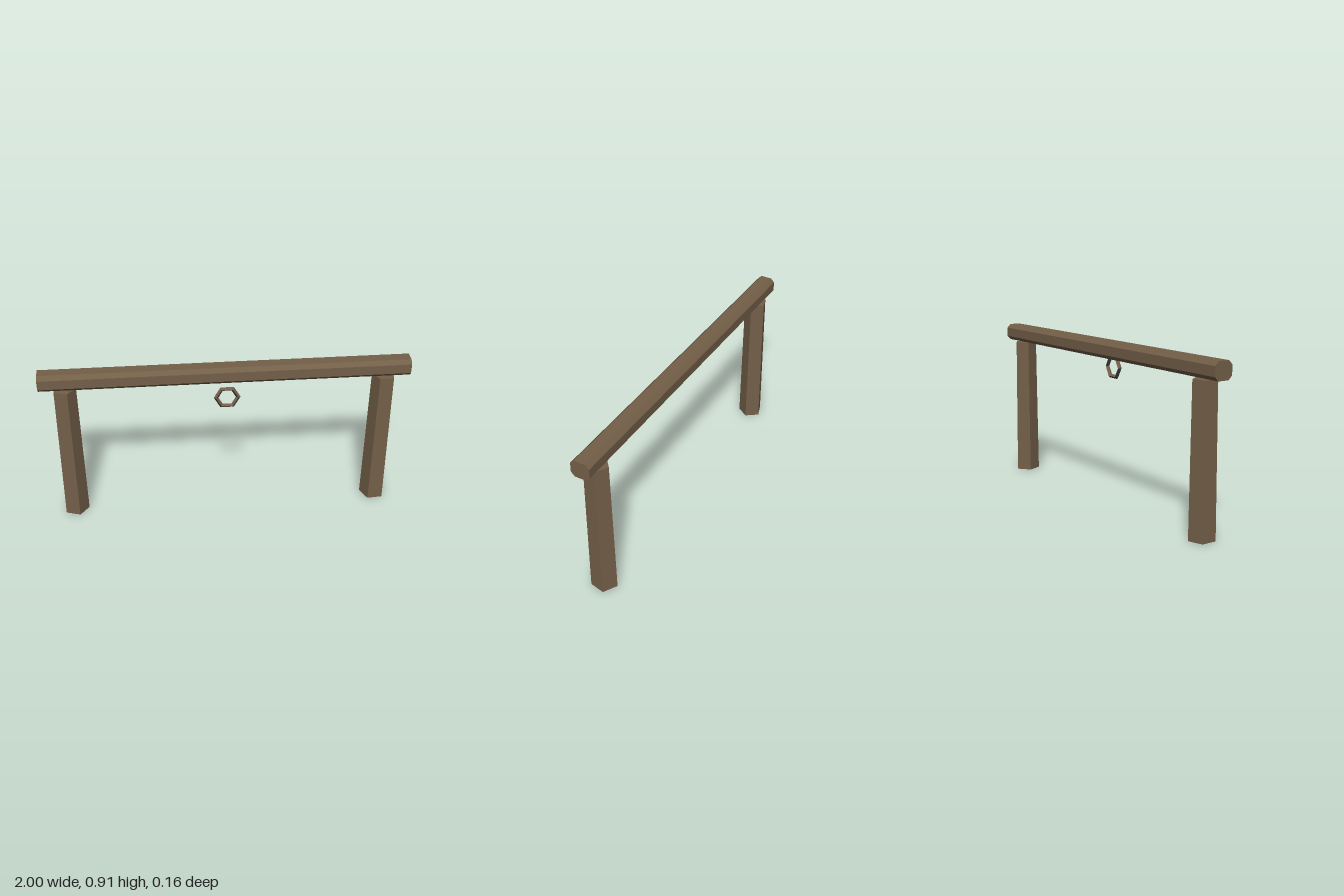
import * as THREE from 'three';

export function createModel() {
  const model = new THREE.Group();
  const wood = new THREE.MeshStandardMaterial({ color: 0x735f48, flatShading: true });
  wood.name = 'weathered wood';
  const iron = new THREE.MeshStandardMaterial({ color: 0x3c3b3f, flatShading: true });
  iron.name = 'dark iron';

  const add = (name, geometry, material, x, y, z) => {
    const mesh = new THREE.Mesh(geometry, material);
    mesh.name = name;
    mesh.position.set(x, y, z);
    model.add(mesh);
  };
  const axisZ = -0.005;

  // Crossbeam: square section with chamfered corners, running along x
  const w = 0.0525, h = 0.0478, c = 0.0215;
  const section = new THREE.Shape([
    [w, -h + c], [w, h - c], [w - c, h], [-w + c, h],
    [-w, h - c], [-w, -h + c], [-w + c, -h], [w - c, -h],
  ].map(([x, y]) => new THREE.Vector2(x, y)));
  const beam = new THREE.ExtrudeGeometry(section, { depth: 2, bevelEnabled: false });
  beam.translate(0, 0, -1).rotateY(Math.PI / 2);
  add('crossbeam', beam, wood, 0, 0.862, axisZ);

  // Posts: tapered five-sided logs, each turned differently
  const post = (name, x, radius, turn) => {
    const geometry = new THREE.CylinderGeometry(
      radius * 0.905, radius, 0.808, 5, 1, false, THREE.MathUtils.degToRad(turn));
    add(name, geometry, wood, x, 0.404, axisZ);
  };
  post('leftPost', 0.867, 0.073, 41);
  post('rightPost', -0.867, 0.0715, 90);

  // Hitching ring: six-sided with a diamond section; upward faces are worn brown
  const ring = new THREE.TorusGeometry(0.0595, 0.0125, 4, 6).toNonIndexed();
  const p = ring.attributes.position;
  const tri = new THREE.Triangle(), normal = new THREE.Vector3();
  ring.clearGroups();
  for (let i = 0; i < p.count; i += 3) {
    tri.setFromAttributeAndIndices(p, i, i + 1, i + 2);
    tri.getNormal(normal);
    ring.addGroup(i, 3, normal.y > 0.3 ? 0 : 1);
  }
  add('hitchingRing', ring, [wood, iron], 0, 0.7495, 0.0655);

  return model;
}
